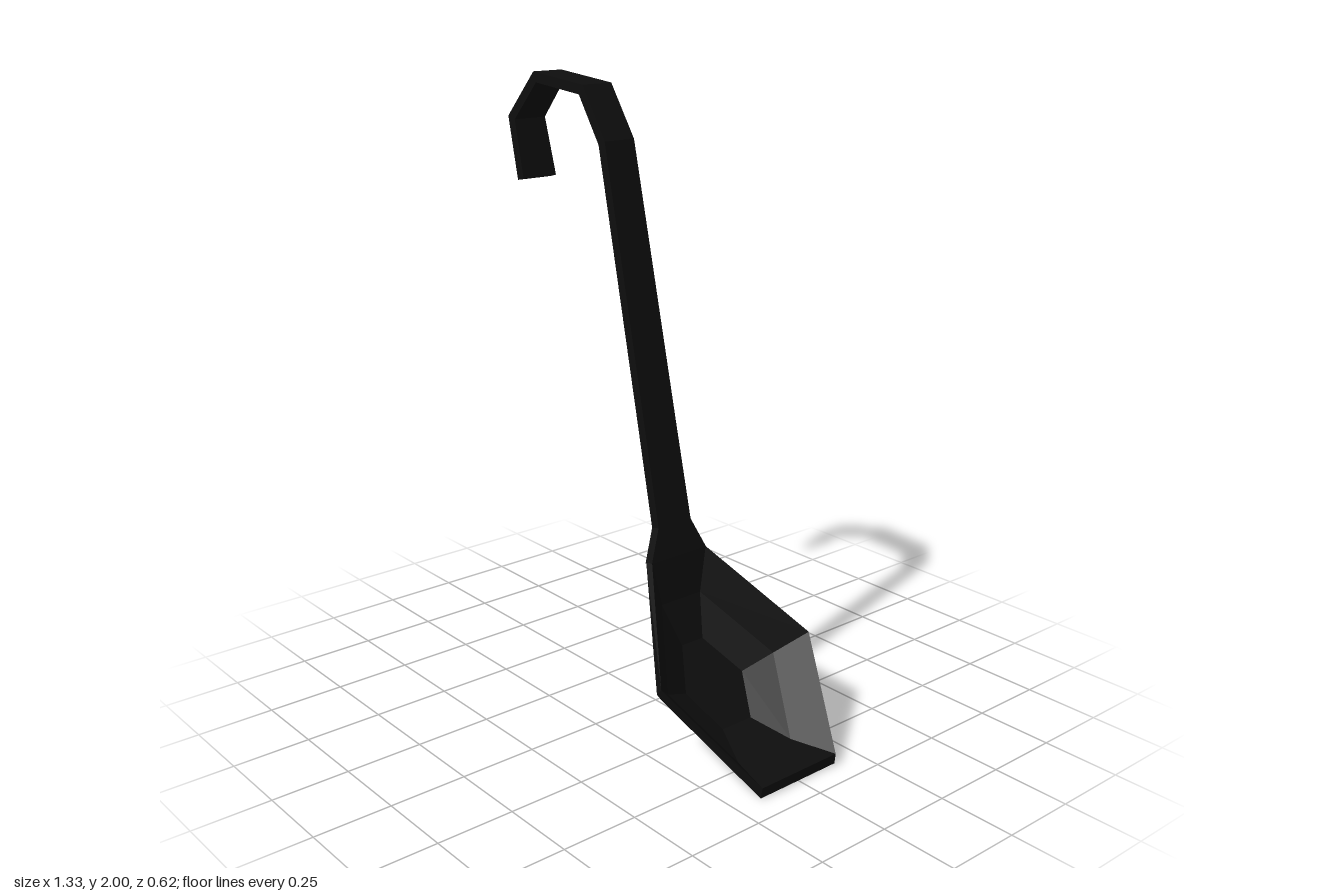
import * as THREE from 'three';

const steel = new THREE.MeshStandardMaterial({ color: 0x0e0e0e, flatShading: true });
steel.name = 'blackEnamel';

// Skin a closed solid over matching rings that run counter-clockwise about the travel direction.
function loft(name, rings) {
  const pos = [];
  const tri = (a, b, c) => pos.push(...a, ...b, ...c);
  const n = rings[0].length;
  for (let k = 0; k < rings.length - 1; k++) {
    const a = rings[k], b = rings[k + 1];
    for (let i = 0; i < n; i++) {
      const j = (i + 1) % n;
      tri(a[i], a[j], b[j]);
      tri(a[i], b[j], b[i]);
    }
  }
  const first = rings[0], last = rings[rings.length - 1];
  for (let i = 1; i < n - 1; i++) {
    tri(first[0], first[i + 1], first[i]);
    tri(last[0], last[i], last[i + 1]);
  }
  const geo = new THREE.BufferGeometry();
  geo.setAttribute('position', new THREE.Float32BufferAttribute(pos, 3));
  geo.computeVertexNormals();
  const mesh = new THREE.Mesh(geo, steel);
  mesh.name = name;
  return mesh;
}

// Flat strap with mitred bends; each path entry is [x, y, half width].
function strap(name, path, half) {
  const pts = path.map(([x, y]) => new THREE.Vector2(x, y));
  const rings = pts.map((p, i) => {
    const before = p.clone().sub(pts[Math.max(i - 1, 0)]).normalize();
    const after = pts[Math.min(i + 1, pts.length - 1)].clone().sub(p).normalize();
    const d = before.clone().add(after).normalize();
    const t = half / Math.max(d.dot(before), d.dot(after) && d.dot(after), 0.5);
    const nx = -d.y * t, ny = d.x * t, w = path[i][2];
    return [
      [p.x + nx, p.y + ny, w], [p.x - nx, p.y - ny, w],
      [p.x - nx, p.y - ny, -w], [p.x + nx, p.y + ny, -w],
    ];
  });
  return loft(name, rings);
}

// Six-sided bowl ring between a neck point and a tip point in the side profile.
function hexRing([nx, ny], [tx, ty], s) {
  const mx = nx + (tx - nx) * 0.5, my = ny + (ty - ny) * 0.5;
  return [
    [tx, ty, -0.155 * s], [mx, my, -0.31 * s], [nx, ny, -0.112 * s],
    [nx, ny, 0.112 * s], [mx, my, 0.31 * s], [tx, ty, 0.155 * s],
  ];
}

export function createModel() {
  const model = new THREE.Group();
  model.name = 'ladle';

  // Long handle, flared at the neck and bent into a hanging hook
  model.add(strap('handle', [
    [0.1, 0.55, 0.112], [0.077, 0.65, 0.066], [0.007, 0.96, 0.063],
    [-0.185, 1.81, 0.057], [-0.287, 1.962, 0.056], [-0.525, 1.984, 0.055],
    [-0.65, 1.848, 0.06], [-0.6, 1.655, 0.065],
  ], 0.016));

  // Hollow bowl: up the outside, over the rim and down the inside
  model.add(loft('bowl', [
    hexRing([0.16, 0.26], [0.37, 0.06], 0.4),
    hexRing([0.1, 0.39], [0.5, 0.012], 0.74),
    hexRing([0.088, 0.55], [0.66, 0.003], 1),
    hexRing([0.115, 0.555], [0.665, 0.038], 0.99),
    hexRing([0.125, 0.41], [0.515, 0.04], 0.71),
    hexRing([0.18, 0.28], [0.39, 0.08], 0.38),
  ]));

  return model;
}
